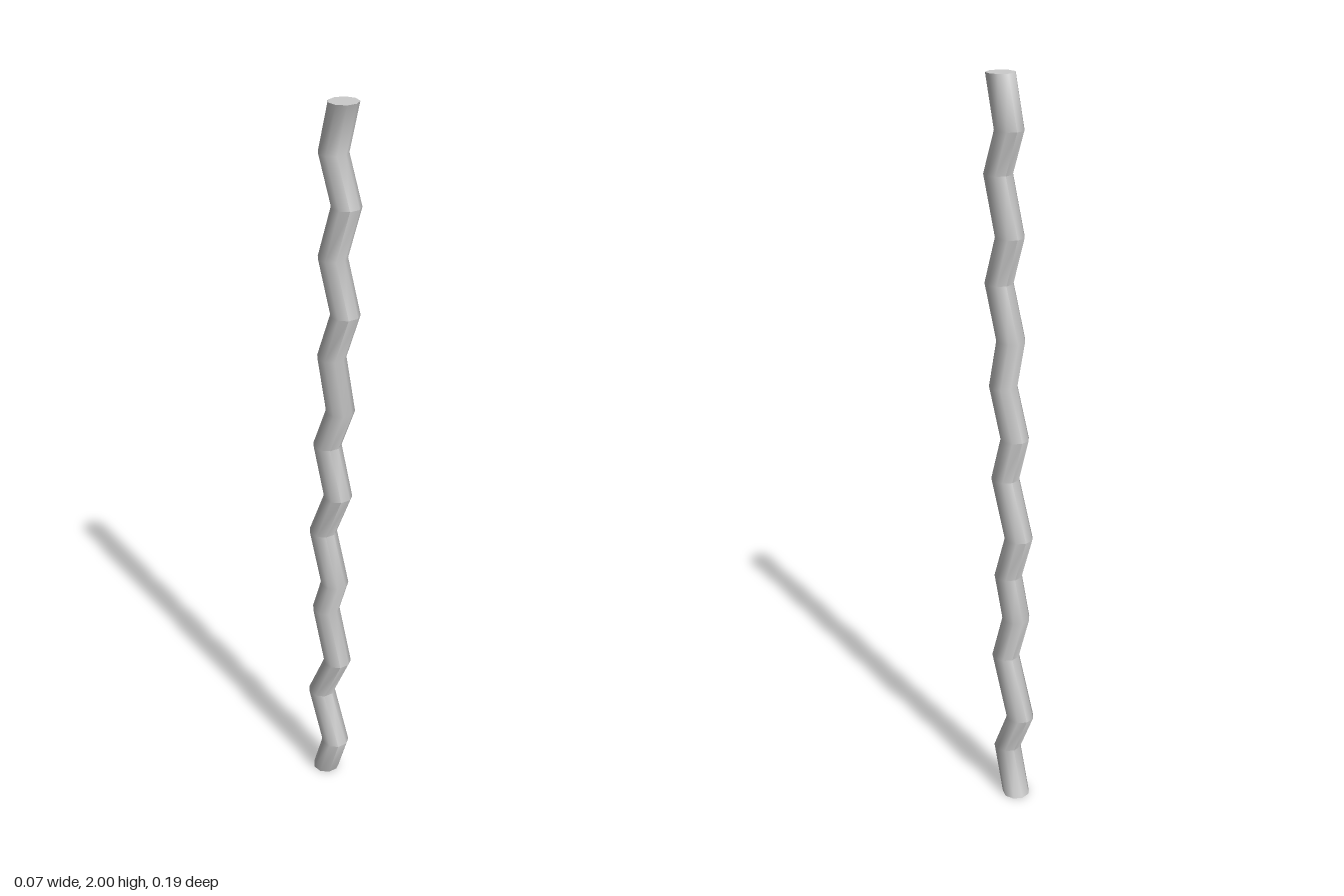
import * as THREE from 'three';
import { toCreasedNormals } from 'three/addons/utils/BufferGeometryUtils.js';

const RADIUS = 0.0376;
const SIDES = 9;

// Bends of the zigzag from top to bottom: [height, forward offset]
const BENDS = [
  [2, 0.047], [1.87, 0.003], [1.755, 0.06], [1.61, 0], [1.48, 0.057], [1.345, -0.005],
  [1.21, 0.036], [1.085, -0.026], [0.955, 0.026], [0.81, -0.048], [0.675, 0.01],
  [0.565, -0.034], [0.42, 0.025], [0.265, -0.058], [0.13, 0.015], [0, -0.035],
];

export function createModel() {
  const group = new THREE.Group();
  group.name = 'zigzagRod';

  // Straight capped rod with one level ring per bend
  const segments = BENDS.length - 1;
  const rod = new THREE.CylinderGeometry(RADIUS, RADIUS, segments, SIDES, segments, false, Math.PI);

  // Slide every ring to its bend, keeping the rings horizontal
  const pos = rod.attributes.position;
  for (let i = 0; i < pos.count; i++) {
    const [y, z] = BENDS[Math.round(segments / 2 - pos.getY(i))];
    pos.setY(i, y);
    pos.setZ(i, pos.getZ(i) + z);
  }

  // Smooth sides, sharp end caps
  const mesh = new THREE.Mesh(
    toCreasedNormals(rod, 1),
    new THREE.MeshStandardMaterial({ color: 0xcccccc }),
  );
  mesh.name = 'rod';
  group.add(mesh);
  return group;
}
